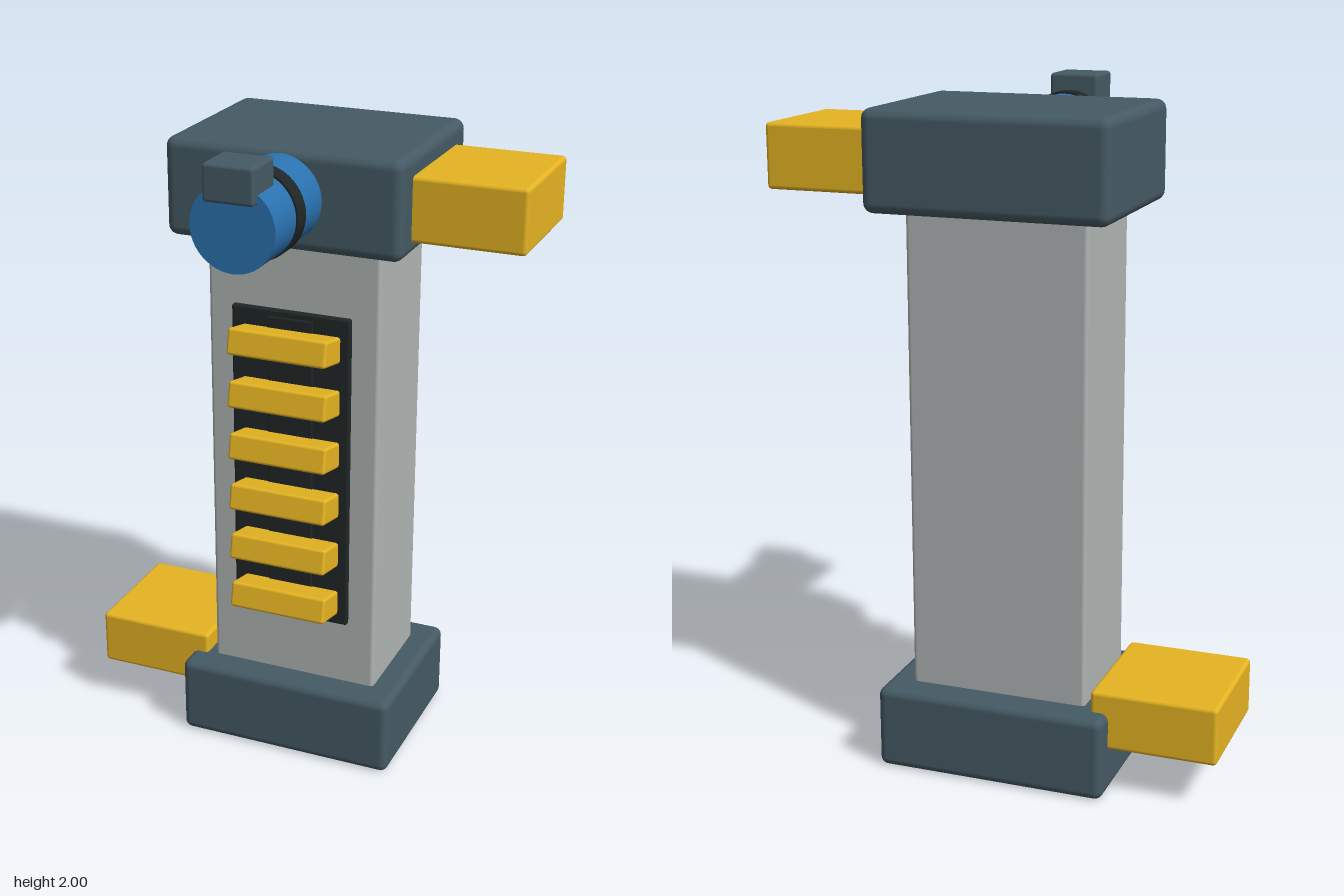
import * as THREE from 'three';
import { RoundedBoxGeometry } from 'three/addons/geometries/RoundedBoxGeometry.js';

const material = (color) => new THREE.MeshStandardMaterial({ color });

export function createModel() {
  const model = new THREE.Group();
  const slate = material(0x455a64);
  const yellow = material(0xe6b422);
  const blue = material(0x2a72b0);
  const dark = material(0x202627);
  const grey = material(0xb0b5b4);

  // Rounded box given by its extents on each axis
  function block(name, [x0, x1], [y0, y1], [z0, z1], radius, mat) {
    const geometry = new RoundedBoxGeometry(x1 - x0, y1 - y0, z1 - z0, 3, radius);
    const mesh = new THREE.Mesh(geometry, mat);
    mesh.name = name;
    mesh.position.set((x0 + x1) / 2, (y0 + y1) / 2, (z0 + z1) / 2);
    model.add(mesh);
    return mesh;
  }

  // Cylinder lying along z
  function barrel(name, radius, z0, z1, mat) {
    const geometry = new THREE.CylinderGeometry(radius, radius, z1 - z0, 48).rotateX(Math.PI / 2);
    const mesh = new THREE.Mesh(geometry, mat);
    mesh.name = name;
    mesh.position.set(-0.01, 1.823, (z0 + z1) / 2);
    model.add(mesh);
  }

  // Body: base, column and head
  block('base', [-0.36, 0.34], [0, 0.25], [-0.44, 0.1], 0.025, slate);
  block('column', [-0.28, 0.26], [0.15, 1.75], [-0.35, 0.01], 0.012, grey);
  block('head', [-0.37, 0.35], [1.67, 1.96], [-0.45, 0.1], 0.03, slate);

  // Side chutes
  block('upperChute', [0.3, 0.68], [1.71, 1.9], [-0.367, 0.017], 0.012, yellow);
  block('lowerChute', [-0.683, -0.305], [0.138, 0.313], [-0.376, 0.021], 0.012, yellow);

  // Front panel with a central rail
  block('panel', [-0.2, 0.175], [0.457, 1.46], [-0.01, 0.026], 0.008, dark);
  block('panelRail', [-0.083, 0.06], [0.467, 1.44], [0, 0.032], 0.004, dark);

  // Tilted slats, front edge raised
  for (let i = 0; i < 6; i++) {
    const y = 0.543 + i * 0.1662;
    const slat = block('slat', [-0.165, 0.145], [y - 0.04, y + 0.04], [0.013, 0.139], 0.009, yellow);
    slat.rotation.x = -0.21;
  }

  // Projecting barrel with its ring and top knob
  barrel('barrel', 0.125, 0.05, 0.42, blue);
  barrel('barrelRing', 0.131, 0.227, 0.281, dark);
  block('knob', [-0.085, 0.065], [1.895, 2], [0.31, 0.447], 0.01, slate);

  return model;
}
